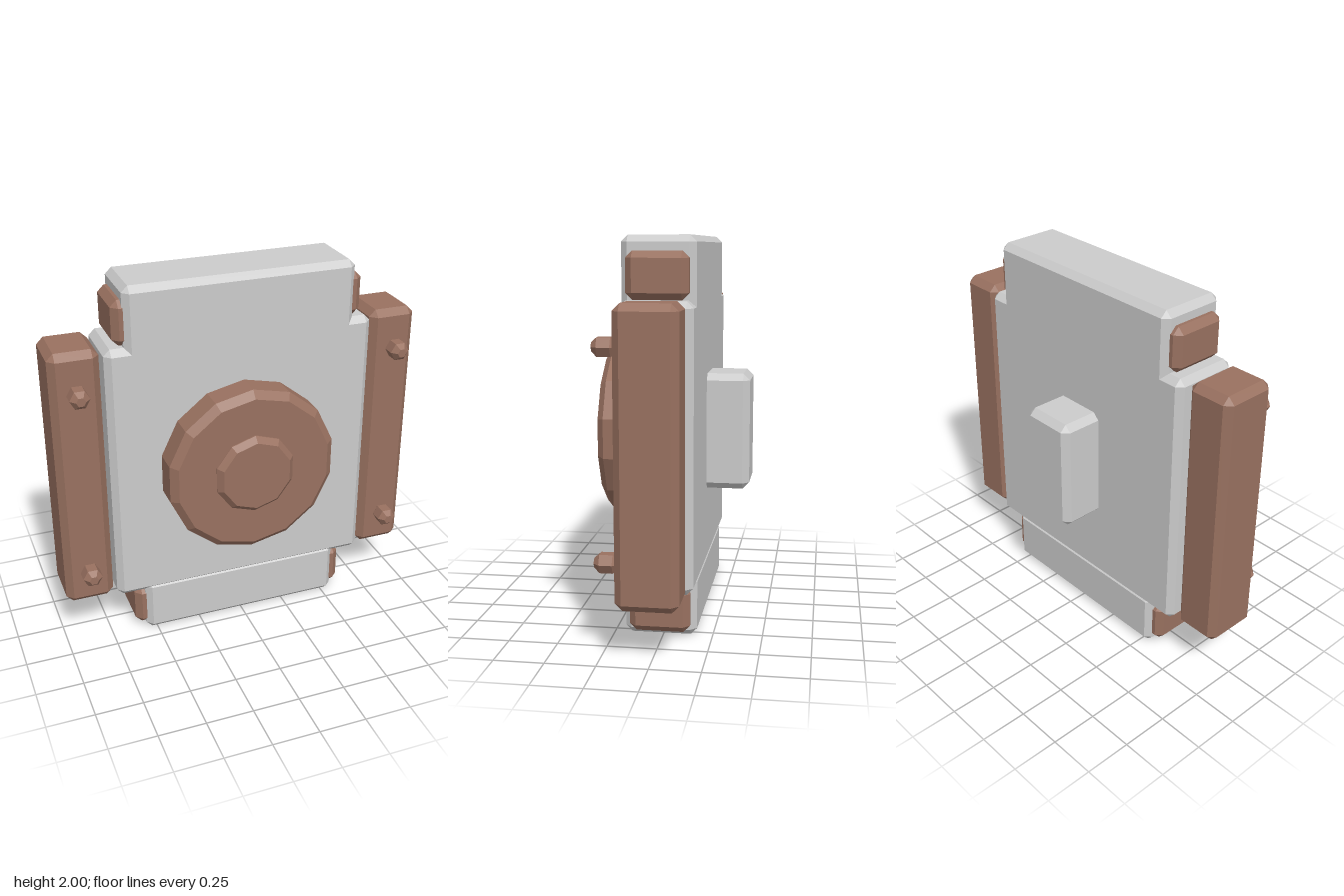
import * as THREE from 'three';
import { ConvexGeometry } from 'three/addons/geometries/ConvexGeometry.js';

const grey = new THREE.MeshStandardMaterial({ color: 0xcccccc, flatShading: true });
const brown = new THREE.MeshStandardMaterial({ color: 0x997160, flatShading: true });

// Box with every edge and corner chamfered by b, given by its extents
function chamferBox(name, material, [x0, x1], [y0, y1], [z0, z1], b) {
  const centre = new THREE.Vector3(x0 + x1, y0 + y1, z0 + z1).multiplyScalar(0.5);
  const half = [(x1 - x0) / 2, (y1 - y0) / 2, (z1 - z0) / 2];
  const points = [];
  for (const sx of [-1, 1]) for (const sy of [-1, 1]) for (const sz of [-1, 1]) {
    const s = [sx, sy, sz];
    for (let axis = 0; axis < 3; axis++) {
      points.push(new THREE.Vector3(...half.map((h, i) => s[i] * (i === axis ? h : h - b))));
    }
  }
  const mesh = new THREE.Mesh(new ConvexGeometry(points), material);
  mesh.position.copy(centre);
  mesh.name = name;
  return mesh;
}

// Faceted turned part; profile is [radius, z] pairs, axis along z
function turned(name, profile, sides, x, y, phiStart = 0) {
  const points = profile.map(([r, z]) => new THREE.Vector2(r, z));
  const geometry = new THREE.LatheGeometry(points, sides, phiStart);
  geometry.rotateX(Math.PI / 2);
  const mesh = new THREE.Mesh(geometry, brown);
  mesh.position.set(x, y, 0);
  mesh.name = name;
  return mesh;
}

export function createModel() {
  const model = new THREE.Group();
  model.name = 'torsoBlock';
  const depth = [-0.17, 0.195];

  // Main slab with its narrower top and bottom sections
  model.add(
    chamferBox('body', grey, [-0.715, 0.715], [0.26, 1.69], depth, 0.033),
    chamferBox('upperBody', grey, [-0.612, 0.612], [1.624, 2], depth, 0.033),
    chamferBox('lowerBody', grey, [-0.56, 0.56], [0, 0.31], depth, 0.033),
    chamferBox('backBlock', grey, [-0.155, 0.155], [0.67, 1.287], [-0.395, -0.1], 0.035),
  );

  // Round front plate and hub
  model.add(
    turned('frontDisc', [[0, 0.15], [0.46, 0.15], [0.46, 0.325], [0.42, 0.36], [0, 0.36]], 14, 0, 0.98),
    turned('frontHub', [[0, 0.3], [0.22, 0.3], [0.22, 0.366], [0.19, 0.396], [0, 0.396]], 10, 0, 0.98),
  );

  // Side bars, bolts and joint tabs on both sides
  const boltProfile = [[0, 0.15], [0.028, 0.163], [0.052, 0.188], [0.052, 0.252], [0.025, 0.28], [0, 0.28]];
  for (const [side, s] of [['left', 1], ['right', -1]]) {
    const span = (a, b) => (s > 0 ? [a, b] : [-b, -a]);
    const z = [-0.14, 0.167];
    model.add(
      chamferBox(side + 'SideBar', brown, span(0.73, 0.987), [0.26, 1.695], z, 0.036),
      chamferBox(side + 'UpperTab', brown, span(0.45, 0.663), [1.692, 1.925], z, 0.034),
      chamferBox(side + 'LowerTab', brown, span(0.4, 0.613), [0.028, 0.262], z, 0.034),
    );
    for (const [row, y] of [['Upper', 1.49], ['Lower', 0.463]]) {
      model.add(turned(side + row + 'Bolt', boltProfile, 6, s * 0.86, y, Math.PI / 2));
    }
  }
  return model;
}
